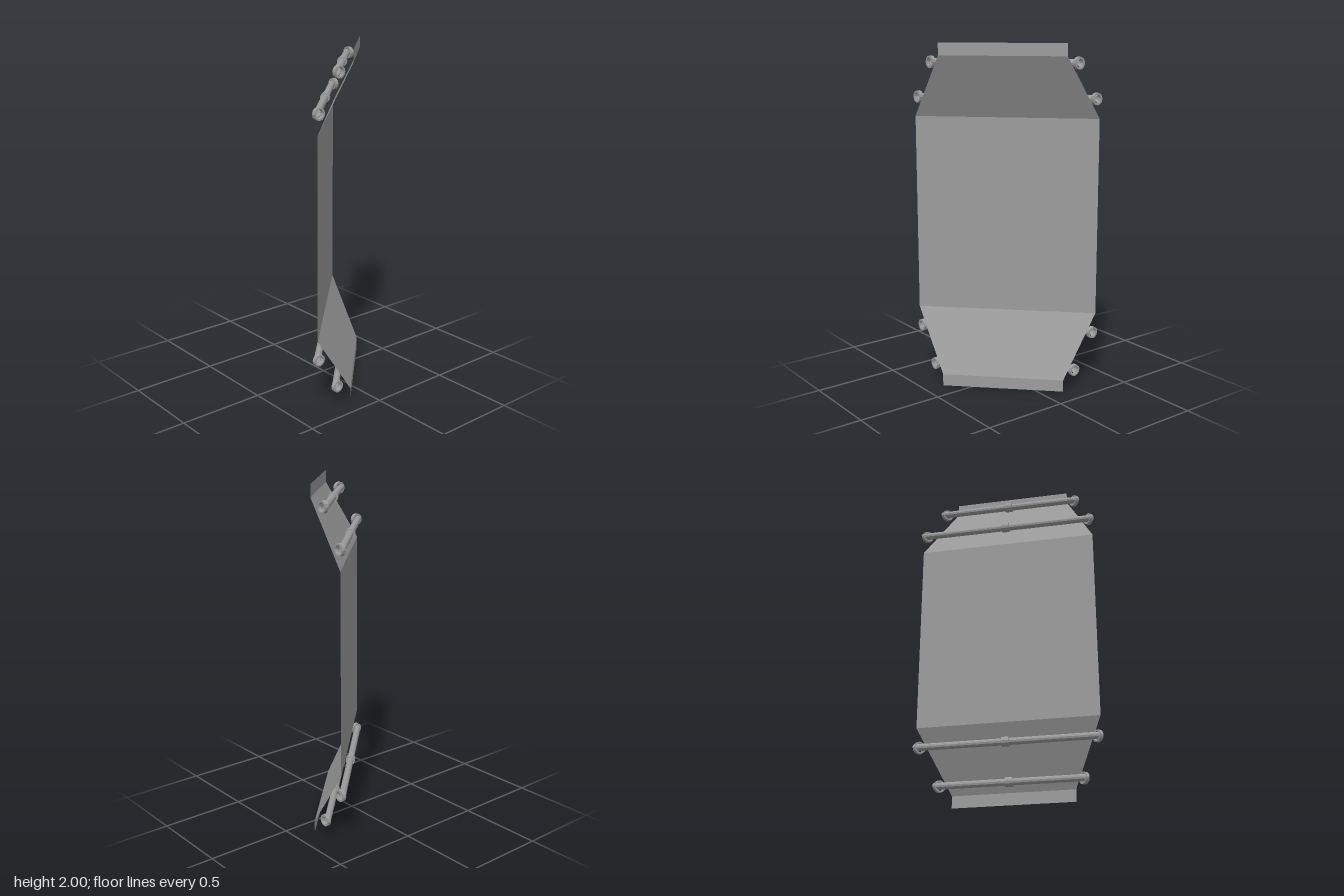
import * as THREE from 'three';

const grey = new THREE.MeshStandardMaterial({ color: 0x9c9c9c, flatShading: true, side: THREE.DoubleSide });
const EDGE = 0.382; // side planes x = EDGE and z = -EDGE

function mesh(name, geometry) {
  const m = new THREE.Mesh(geometry, grey);
  m.name = name;
  return m;
}

// Thin folded sheet running diagonally between the two side planes
function panelGeometry() {
  const rows = [[0, 0.12], [0.07, 0.12], [0.43, 0.363], [1.575, 0.363], [1.93, 0.12], [2, 0.12]];
  const pos = [], index = [];
  rows.forEach(([y, a], i) => {
    pos.push(-a, y, -EDGE, EDGE, y, a);
    if (i > 0) {
      const k = 2 * i;
      index.push(k - 2, k - 1, k + 1, k - 2, k + 1, k);
    }
  });
  const g = new THREE.BufferGeometry();
  g.setAttribute('position', new THREE.Float32BufferAttribute(pos, 3));
  g.setIndex(index);
  const flat = g.toNonIndexed();
  flat.computeVertexNormals();
  return flat;
}

// Cylinder lying along the diagonal (1, 0, 1)
function diagonalCylinder(radius, length, open) {
  return new THREE.CylinderGeometry(radius, radius, length, 12, 1, open)
    .rotateX(Math.PI / 2).rotateY(Math.PI / 4);
}

// Open pipe on the line z = x - offset, its ends mitred to the side planes
function pipeGeometry(offset) {
  const g = diagonalCylinder(0.02, 1, true).translate(offset / 2, 0, -offset / 2);
  const p = g.attributes.position;
  const end = EDGE - 0.01;
  for (let i = 0; i < p.count; i++) {
    const x = p.getX(i), z = p.getZ(i);
    const slide = x + z > 0 ? end - x : -end - z;
    p.setX(i, x + slide);
    p.setZ(i, z + slide);
  }
  g.computeVertexNormals();
  return g;
}

// Ring-shaped end flange, axis along z
function flangeGeometry() {
  const r = 0.035, inner = 0.025, h = 0.011;
  const profile = [[inner, -h], [r, -h], [r, h], [inner, h], [inner, -h]];
  return new THREE.LatheGeometry(profile.map(([x, y]) => new THREE.Vector2(x, y)), 12)
    .rotateX(Math.PI / 2);
}

function rail(y, offset, reach) {
  const g = new THREE.Group();
  g.name = 'rail';
  g.add(mesh('pipe', pipeGeometry(offset)));

  const collar = mesh('collar', diagonalCylinder(0.028, 0.042, false));
  collar.position.set(offset / 2 - 0.004, 0, -offset / 2 - 0.004);
  g.add(collar);

  const backFlange = mesh('backFlange', flangeGeometry());
  backFlange.position.set(-reach, 0, -EDGE + 0.011);
  const sideFlange = mesh('sideFlange', flangeGeometry());
  sideFlange.rotation.y = Math.PI / 2;
  sideFlange.position.set(EDGE - 0.011, 0, reach);
  g.add(backFlange, sideFlange);

  g.position.y = y;
  return g;
}

export function createModel() {
  const model = new THREE.Group();
  model.name = 'cornerPanel';
  model.add(mesh('foldedPanel', panelGeometry()));

  // Two rails near the bottom, mirrored near the top
  for (const [y, offset, reach] of [[0.11, 0.146, 0.21], [0.313, 0.012, 0.346]]) {
    model.add(rail(y, offset, reach), rail(2 - y, offset, reach));
  }
  return model;
}
